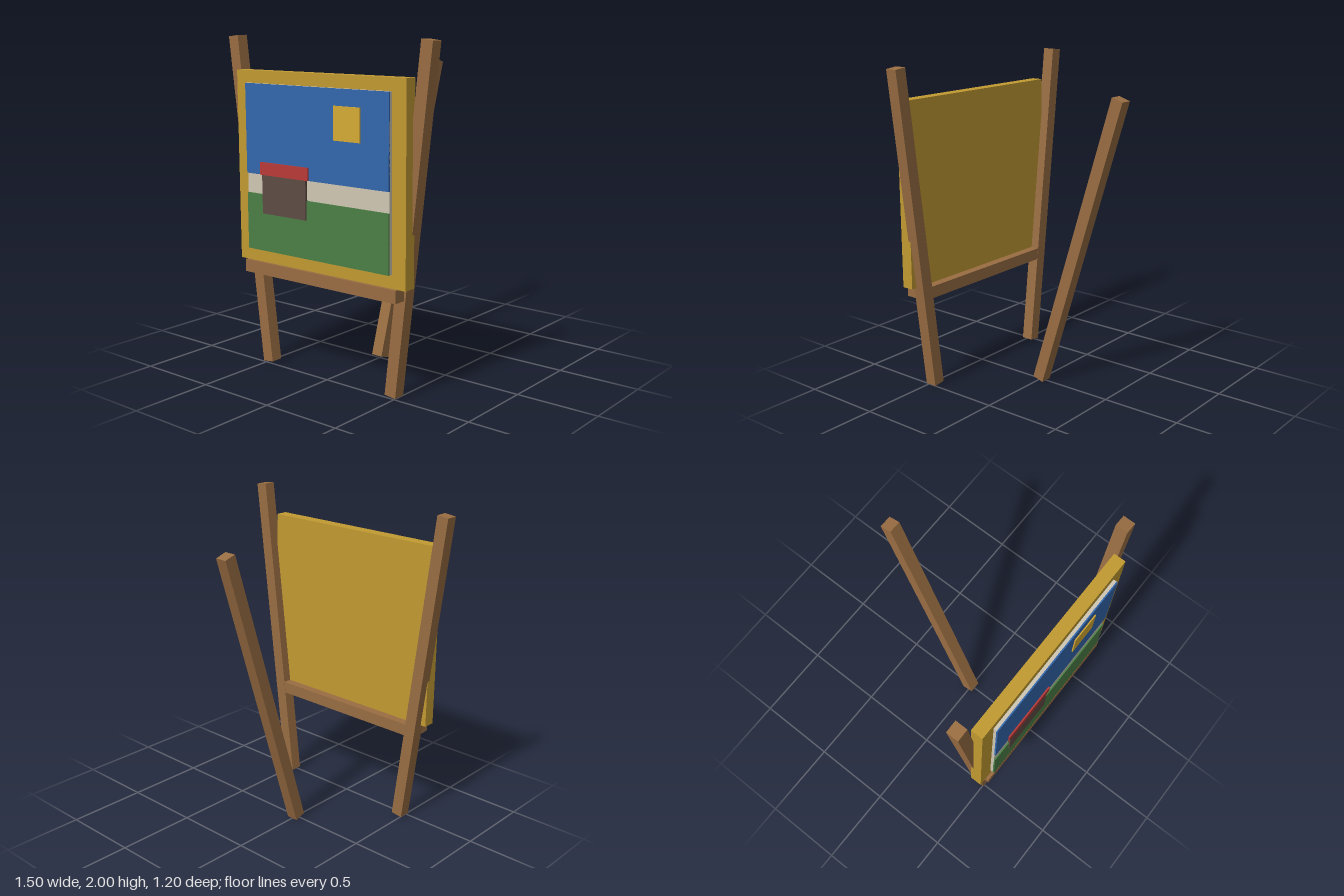
import * as THREE from 'three';

export function createModel() {
  const model = new THREE.Group();
  model.name = 'paintingOnEasel';

  const mat = (color) => new THREE.MeshStandardMaterial({ color });
  const wood = mat(0x996d42);
  const gold = mat(0xc19a32);

  // Box given by its ranges along x, y and z
  function block(name, material, [x0, x1], [y0, y1], [z0, z1], parent = model) {
    const mesh = new THREE.Mesh(new THREE.BoxGeometry(x1 - x0, y1 - y0, z1 - z0), material);
    mesh.position.set((x0 + x1) / 2, (y0 + y1) / 2, (z0 + z1) / 2);
    mesh.name = name;
    parent.add(mesh);
  }

  // Square post running between the centres of its two ends
  function post(name, from, to) {
    const a = new THREE.Vector3(...from);
    const b = new THREE.Vector3(...to);
    const mesh = new THREE.Mesh(new THREE.BoxGeometry(0.075, a.distanceTo(b), 0.075), wood);
    mesh.position.copy(a).add(b).multiplyScalar(0.5);
    mesh.quaternion.setFromUnitVectors(new THREE.Vector3(0, 1, 0), b.sub(a).normalize());
    mesh.name = name;
    model.add(mesh);
  }

  // Easel: two splayed front legs, a leaning rear leg and the ledge
  for (const [name, s] of [['leftLeg', 1], ['rightLeg', -1]]) {
    post(name, [s * 0.476, 0.013, 0.47], [s * 0.713, 1.995, 0.47]);
  }
  post('rearLeg', [0, 0.011, -0.005], [0, 1.833, -0.565]);
  block('ledge', wood, [-0.573, 0.573], [0.587, 0.662], [0.434, 0.585]);

  // Frame board and the canvas on its face
  block('frame', gold, [-0.627, 0.627], [0.662, 1.8], [0.49, 0.565]);
  block('canvas', mat(0xd0c7b4), [-0.533, 0.533], [0.74, 1.727], [0.56, 0.585]);

  // Painted scene in thin raised layers
  const scene = new THREE.Group();
  scene.name = 'paintedScene';
  model.add(scene);
  block('sky', mat(0x3367ad), [-0.533, 0.533], [1.197, 1.727], [0.583, 0.593], scene);
  block('meadow', mat(0x4c8046), [-0.533, 0.533], [0.74, 1.08], [0.583, 0.593], scene);
  block('sun', mat(0xd6ab35), [0.152, 0.34], [1.442, 1.633], [0.588, 0.6], scene);
  block('house', mat(0x5f4c45), [-0.402, -0.06], [0.967, 1.197], [0.583, 0.6], scene);
  block('roof', mat(0xb83a37), [-0.417, -0.041], [1.197, 1.272], [0.583, 0.602], scene);

  return model;
}
